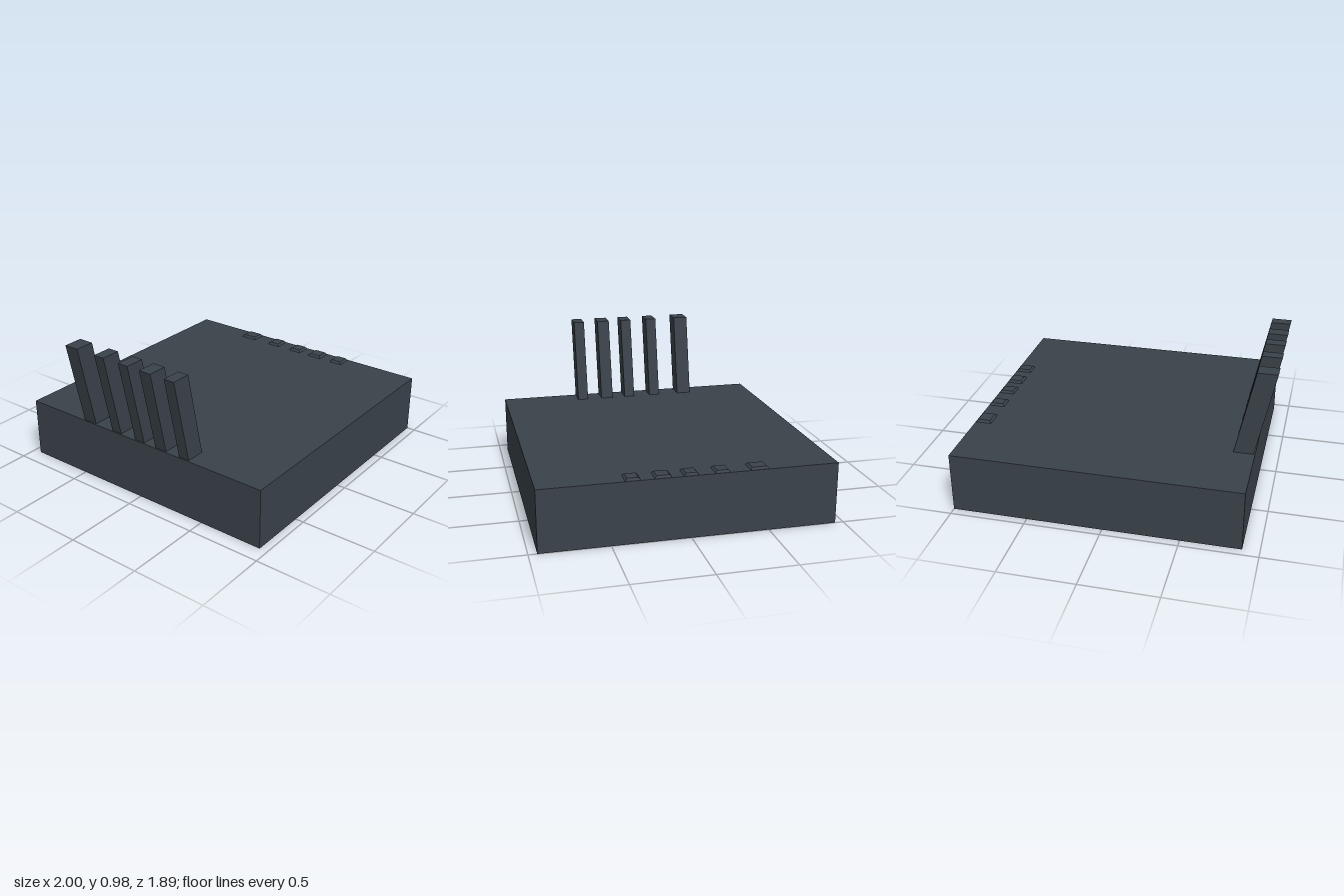
import * as THREE from 'three';

const material = new THREE.MeshStandardMaterial({ color: 0x3a424a, flatShading: true });

const BASE_TOP = 0.405;

function part(name, geometry, x = 0, y = 0, z = 0) {
  const mesh = new THREE.Mesh(geometry, material);
  mesh.name = name;
  mesh.position.set(x, y, z);
  return mesh;
}

// Leaning slab: parallelogram side profile extruded along z
function finGeometry(depth) {
  const profile = new THREE.Shape([
    new THREE.Vector2(-0.88, BASE_TOP),
    new THREE.Vector2(-0.75, BASE_TOP),
    new THREE.Vector2(-0.87, 0.978),
    new THREE.Vector2(-1, 0.978),
  ]);
  return new THREE.ExtrudeGeometry(profile, { depth, bevelEnabled: false });
}

// Low pad whose top face is drawn in by a fixed bevel
function padGeometry(width, height, depth, bevel) {
  const geometry = new THREE.BoxGeometry(width, height, depth);
  const p = geometry.attributes.position;
  for (let i = 0; i < p.count; i++) {
    if (p.getY(i) > 0) {
      p.setX(i, p.getX(i) - Math.sign(p.getX(i)) * bevel);
      p.setZ(i, p.getZ(i) - Math.sign(p.getZ(i)) * bevel);
    }
  }
  geometry.computeVertexNormals();
  return geometry;
}

export function createModel() {
  const model = new THREE.Group();
  model.name = 'model';

  // Base block
  model.add(part('base', new THREE.BoxGeometry(1.89, BASE_TOP, 1.89), 0.055, BASE_TOP / 2, 0));

  // Centre z and thickness of each fin, with a matching pad on the opposite edge
  const rows = [
    [-0.43, 0.102],
    [-0.194, 0.076],
    [0.003, 0.075],
    [0.178, 0.087],
    [0.364, 0.075],
  ];
  const fins = new THREE.Group();
  fins.name = 'fins';
  const pads = new THREE.Group();
  pads.name = 'pads';
  const padHeight = 0.015;
  for (const [z, thickness] of rows) {
    fins.add(part('fin', finGeometry(thickness), 0, 0, z - thickness / 2));
    pads.add(part('pad', padGeometry(0.108, padHeight, thickness + 0.02, 0.013),
      0.944, BASE_TOP + padHeight / 2, z));
  }
  model.add(fins, pads);
  return model;
}
